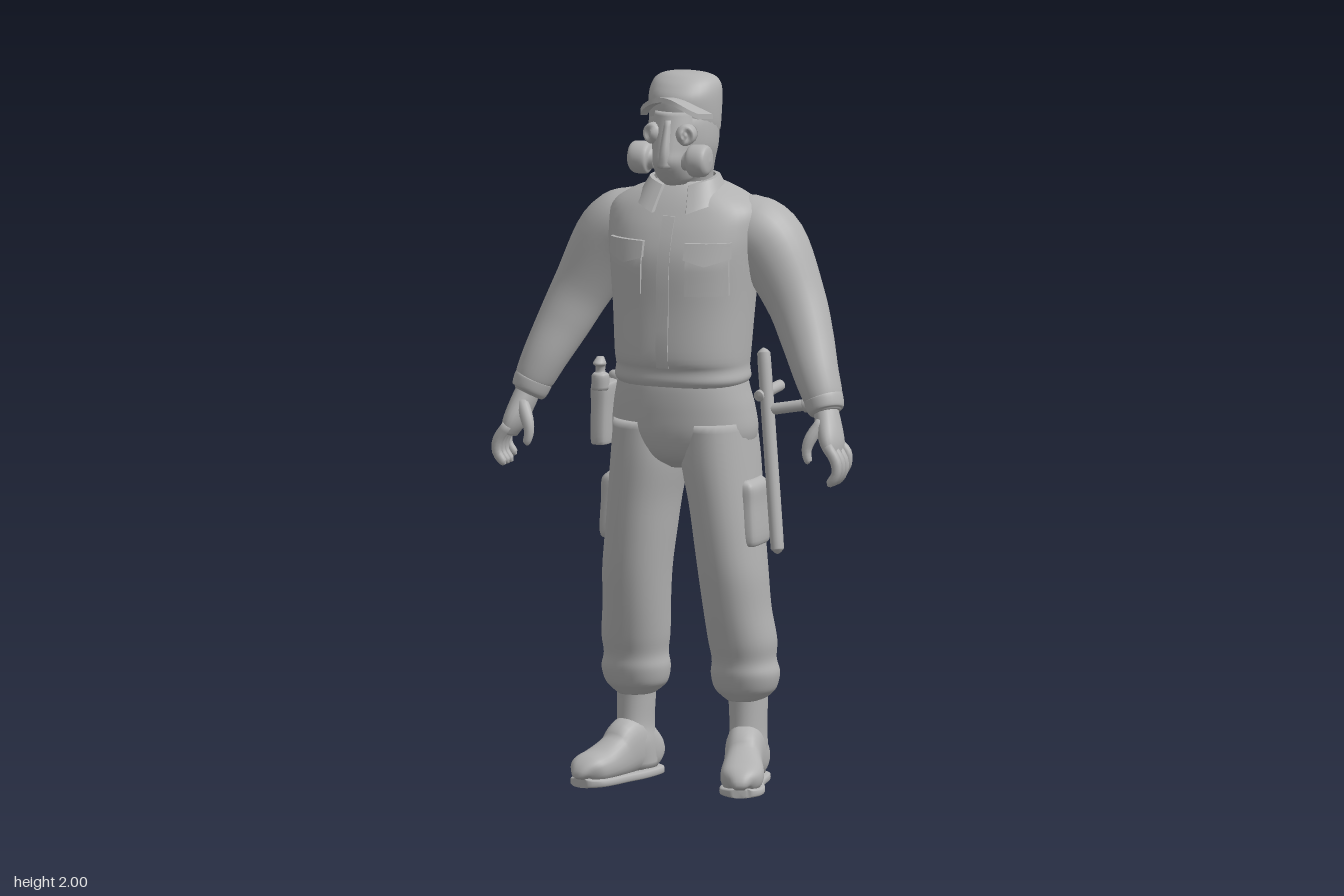
import * as THREE from 'three';

const grey = new THREE.MeshStandardMaterial({ color: 0xb2b2b2 });
grey.name = 'plain grey';

// Smooth skin through elliptical sections [x, y, z, sideRadius, refRadius].
function loft(secs, { ref = [0, 0, 1], flat = false, n = 28, steps = 5, pow = 2 } = {}) {
  const path = new THREE.CatmullRomCurve3(secs.map(s => new THREE.Vector3(s[0], s[1], s[2])), false, 'catmullrom');
  const size = new THREE.CatmullRomCurve3(secs.map(s => new THREE.Vector3(s[3], s[4], 0)), false, 'catmullrom');
  const rows = (secs.length - 1) * steps, pos = [], idx = [];
  const bend = c => Math.sign(c) * Math.pow(Math.abs(c), 2 / pow);
  for (let i = 0; i <= rows; i++) {
    const c = path.getPoint(i / rows), r = size.getPoint(i / rows);
    const t = flat ? new THREE.Vector3(0, 1, 0) : path.getTangent(i / rows);
    const b = new THREE.Vector3(...ref);
    b.addScaledVector(t, -b.dot(t)).normalize();
    const a = t.clone().cross(b);
    for (let j = 0; j < n; j++) {
      const q = j / n * Math.PI * 2;
      const p = c.clone().addScaledVector(a, bend(Math.cos(q)) * Math.max(r.x, 0.001))
        .addScaledVector(b, bend(Math.sin(q)) * Math.max(r.y, 0.001));
      pos.push(p.x, p.y, p.z);
    }
  }
  for (let i = 0; i < rows; i++) for (let j = 0; j < n; j++) {
    const k = (j + 1) % n, A = i * n + j, B = A + n, C = i * n + k, D = C + n;
    idx.push(A, B, C, B, D, C);
  }
  // end caps
  const first = secs[0], last = secs[secs.length - 1], e = pos.length / 3;
  pos.push(first[0], first[1], first[2], last[0], last[1], last[2]);
  for (let j = 0; j < n; j++) {
    const k = (j + 1) % n;
    idx.push(e, j, k, e + 1, rows * n + k, rows * n + j);
  }
  const g = new THREE.BufferGeometry();
  g.setAttribute('position', new THREE.Float32BufferAttribute(pos, 3));
  g.setIndex(idx);
  g.computeVertexNormals();
  return g;
}

// Upright form from rows [y, centreX, halfWidth, frontZ, backZ].
const upright = (rows, opt = {}) => loft(rows.map(([y, x, w, f, b]) =>
  [x, y, (f + b) / 2, w, (f - b) / 2]), { flat: true, ...opt });

// Box whose vertices are moved by a rule.
function shaped(nx, ny, rule) {
  const g = new THREE.BoxGeometry(2, 1, 1, nx, ny, 1), p = g.attributes.position;
  for (let i = 0; i < p.count; i++) p.setXYZ(i, ...rule(p.getX(i), p.getY(i) + 0.5, p.getZ(i) + 0.5));
  g.computeVertexNormals();
  return g;
}

// Rod with rounded ends.
function rod(p, q, r) {
  const at = (k, s) => [...p.map((v, i) => v + (q[i] - v) * k), r * s, r * s];
  return loft([at(0, 0.1), at(0.02, 0.85), at(0.08, 1), at(0.5, 1), at(0.92, 1), at(0.98, 0.85), at(1, 0.1)],
    { ref: [0.31, 0.2, 0.9], n: 14, steps: 2 });
}

const TORSO = [
  [1.13, 0, 0.178, 0.14, -0.135], [1.15, 0, 0.19, 0.152, -0.145], [1.18, 0, 0.186, 0.152, -0.147],
  [1.22, 0, 0.189, 0.163, -0.155], [1.35, 0, 0.198, 0.157, -0.166], [1.48, 0, 0.21, 0.153, -0.176],
  [1.56, 0, 0.22, 0.13, -0.175], [1.62, 0, 0.215, 0.1, -0.163], [1.66, 0, 0.165, 0.075, -0.145],
  [1.69, 0, 0.09, 0.05, -0.12], [1.7, 0, 0.06, 0.035, -0.1]];

// Front of the jacket at a given x and y.
function chestZ(x, y) {
  const i = Math.max(1, TORSO.findIndex(r => r[0] >= y)), a = TORSO[i - 1], b = TORSO[i];
  const k = (y - a[0]) / (b[0] - a[0]), [, , w, f, back] = a.map((v, j) => v + (b[j] - v) * k);
  return (f + back) / 2 + (f - back) / 2 * Math.pow(Math.max(0, 1 - Math.pow(Math.abs(x) / w, 2.3)), 1 / 2.3);
}
const chestPatch = (x, y, w, h, thick, sag = 0) => shaped(8, 8, (u, v, d) => {
  const px = x + u * w, py = y + (v - 0.5) * h - (1 - v) * (1 - Math.abs(u)) * sag;
  return [px, py, chestZ(px, py) - 0.01 + d * (0.01 + thick)];
});

export function createModel() {
  const model = new THREE.Group();
  const add = (name, geo) => {
    const m = new THREE.Mesh(geo, grey);
    m.name = name;
    model.add(m);
    return m;
  };

  // Jacket body, placket and collar
  add('jacketBody', upright(TORSO, { pow: 2.3, n: 40 }));
  add('placket', chestPatch(0, 1.4, 0.018, 0.42, 0.005));
  add('collar', shaped(40, 4, (u, w, d) => {
    const q = -u * 2.8, r = 0.112 - 0.03 * w + 0.012 * d, front = Math.max(0, -Math.cos(q));
    return [Math.sin(q) * r * (1 + 0.25 * front), 1.652 + 0.058 * w - 0.035 * Math.pow(Math.abs(u), 5) * (1 - 0.4 * w),
      -0.022 - Math.cos(q) * r * 0.95 + 0.025 * (1 - w) * front];
  }));

  // Trouser seat
  add('trouserSeat', upright([[0.895, 0, 0.08, 0.05, -0.09], [0.93, 0, 0.17, 0.11, -0.15], [0.99, 0, 0.204, 0.138, -0.168],
    [1.06, 0, 0.2, 0.145, -0.16], [1.12, 0, 0.188, 0.145, -0.142], [1.16, 0, 0.18, 0.14, -0.135]], { pow: 2.2, n: 36 }));

  // Head, gas mask and cap
  add('head', upright([[1.63, 0, 0.07, 0.02, -0.1], [1.7, 0, 0.07, 0.045, -0.105], [1.75, 0, 0.082, 0.09, -0.108],
    [1.8, 0, 0.095, 0.11, -0.112], [1.86, 0, 0.096, 0.108, -0.115], [1.9, 0, 0.09, 0.09, -0.11]]));
  add('maskFace', upright([[1.695, 0, 0.03, 0.1, 0.02], [1.715, 0, 0.05, 0.122, 0], [1.76, 0, 0.058, 0.153, 0],
    [1.8, 0, 0.06, 0.145, 0], [1.85, 0, 0.066, 0.128, 0], [1.9, 0, 0.06, 0.112, 0]], { pow: 1.8 }));
  add('maskRidge', upright([[1.75, 0, 0.026, 0.158, 0.08], [1.8, 0, 0.02, 0.154, 0.08], [1.88, 0, 0.012, 0.126, 0.08]], { n: 16 }));
  add('capCrown', upright([[1.835, 0, 0.094, 0.075, -0.118], [1.87, 0, 0.099, 0.095, -0.121], [1.93, 0, 0.101, 0.096, -0.125],
    [1.965, 0, 0.096, 0.075, -0.116], [1.985, 0, 0.08, 0.052, -0.09], [1.996, 0, 0.05, 0.03, -0.05], [2, 0, 0.005, 0, -0.01]], { n: 32 }));
  add('capVisor', shaped(20, 1, (u, d, v) => {
    const inner = 0.08 * Math.sqrt(1 - 0.9 * u * u), outer = 0.165 - 0.06 * Math.pow(u, 4);
    return [0.098 * u * (1 - 0.12 * v), 1.925 + 0.014 * d - 0.05 * u * u + 0.012 * v, inner + (outer - inner) * v];
  }));

  for (const s of [1, -1]) {
    const side = s > 0 ? 'left' : 'right';
    const mir = secs => secs.map(([x, ...rest]) => [x * s, ...rest]);
    const mirUp = secs => secs.map(([y, x, ...rest]) => [y, x * s, ...rest]);

    // Mask filter
    add(side + 'Filter', loft(mir([[0.04, 1.765, 0.1, 0.025, 0.025], [0.055, 1.767, 0.1, 0.03, 0.03], [0.066, 1.768, 0.1, 0.044, 0.044],
      [0.1, 1.77, 0.1, 0.045, 0.045], [0.115, 1.77, 0.1, 0.034, 0.034], [0.12, 1.77, 0.1, 0.002, 0.002]]), { n: 22 }));
    add(side + 'MaskLens', loft(mir([[0.045, 1.84, 0.08, 0.028, 0.03], [0.05, 1.84, 0.118, 0.026, 0.028], [0.052, 1.84, 0.124, 0.004, 0.004]]),
      { ref: [0, 1, 0], n: 18 }));

    // Chest pocket and flap
    add(side + 'ChestPocket', chestPatch(0.12 * s, 1.465, 0.054, 0.14, 0.01));
    add(side + 'PocketFlap', chestPatch(0.12 * s, 1.52, 0.058, 0.045, 0.018, 0.018));

    // Sleeve and cuff
    add(side + 'Sleeve', loft(mir([[0.11, 1.575, -0.055, 0.07, 0.08], [0.17, 1.56, -0.06, 0.098, 0.1], [0.235, 1.515, -0.062, 0.104, 0.103],
      [0.315, 1.375, -0.045, 0.085, 0.083], [0.362, 1.275, -0.015, 0.075, 0.072], [0.402, 1.185, 0.02, 0.064, 0.064],
      [0.428, 1.125, 0.035, 0.056, 0.06], [0.434, 1.11, 0.038, 0.05, 0.055]])));
    add(side + 'Cuff', loft(mir([[0.428, 1.125, 0.036, 0.05, 0.055], [0.433, 1.113, 0.038, 0.054, 0.06],
      [0.442, 1.085, 0.045, 0.05, 0.056], [0.446, 1.075, 0.048, 0.038, 0.044]])));

    // Hand with curled fingers and thumb
    add(side + 'Palm', loft(mir([[0.44, 1.095, 0.045, 0.034, 0.036], [0.456, 1.05, 0.06, 0.034, 0.046], [0.474, 1.0, 0.077, 0.03, 0.054],
      [0.486, 0.965, 0.083, 0.018, 0.048]]), { n: 20 }));
    for (let k = 0; k < 4; k++) {
      const z = 0.042 + k * 0.027, d = k === 0 ? 0.015 : 0;
      add(side + 'Finger', loft(mir([[0.477, 0.995, z, 0.015, 0.014], [0.503, 0.955 + d, z + 0.002, 0.016, 0.014],
        [0.506, 0.92 + d, z + 0.004, 0.014, 0.013], [0.488, 0.893 + d, z + 0.004, 0.012, 0.011], [0.48, 0.886 + d, z + 0.004, 0.002, 0.002]]),
        { n: 10, steps: 3 }));
    }
    add(side + 'Thumb', loft(mir([[0.447, 1.055, 0.085, 0.018, 0.02], [0.424, 1.015, 0.108, 0.018, 0.018], [0.414, 0.98, 0.117, 0.014, 0.014],
      [0.42, 0.95, 0.12, 0.011, 0.011], [0.423, 0.944, 0.12, 0.002, 0.002]]), { n: 12, steps: 3 }));

    // Trouser leg, bloused over the boot
    add(side + 'TrouserLeg', upright(mirUp([[0.24, 0.162, 0.05, 0.005, -0.125], [0.255, 0.162, 0.07, 0.018, -0.137], [0.275, 0.162, 0.086, 0.033, -0.148],
      [0.315, 0.163, 0.094, 0.045, -0.152], [0.355, 0.161, 0.087, 0.048, -0.147], [0.41, 0.159, 0.092, 0.064, -0.149],
      [0.5, 0.15, 0.09, 0.085, -0.137], [0.6, 0.143, 0.092, 0.104, -0.132], [0.7, 0.132, 0.093, 0.116, -0.143],
      [0.8, 0.121, 0.095, 0.125, -0.156], [0.92, 0.105, 0.101, 0.134, -0.167], [1.03, 0.1, 0.095, 0.135, -0.155]]), { pow: 2.15 }));
    add(side + 'CargoPocket', upright(mirUp([[0.68, 0.2, 0.02, 0.04, -0.06], [0.7, 0.205, 0.032, 0.06, -0.08], [0.8, 0.2, 0.033, 0.06, -0.08],
      [0.85, 0.197, 0.034, 0.06, -0.08], [0.87, 0.195, 0.016, 0.05, -0.07]]), { pow: 3.5, n: 20 }));

    // Boot
    add(side + 'BootShaft', upright(mirUp([[0.03, 0.16, 0.05, 0.0, -0.135], [0.1, 0.165, 0.054, 0.02, -0.138], [0.15, 0.168, 0.05, 0.005, -0.13],
      [0.22, 0.167, 0.052, 0.0, -0.13], [0.27, 0.165, 0.054, 0.0, -0.13]]), { n: 24 }));
    const foot = [[0.155, -0.15, 0.022, 0.05], [0.156, -0.138, 0.043, 0.09], [0.16, -0.1, 0.052, 0.13], [0.172, -0.03, 0.054, 0.17],
      [0.19, 0.03, 0.053, 0.125], [0.212, 0.09, 0.06, 0.094], [0.228, 0.14, 0.056, 0.08], [0.236, 0.168, 0.034, 0.058], [0.238, 0.174, 0.012, 0.03]];
    add(side + 'BootFoot', loft(mir(foot.map(([x, z, w, h]) => [x, 0.008 + h / 2, z, w, h / 2])), { ref: [0, 1, 0], pow: 2.4 }));
    add(side + 'BootSole', loft(mir(foot.map(([x, z, w]) => [x, 0.013, z, w + 0.003, 0.013])), { ref: [0, 1, 0], pow: 4 }));
  }

  // Side-handled baton on the left hip
  add('batonShaft', rod([0.208, 1.225, -0.075], [0.287, 0.665, 0.015], 0.019));
  add('batonHandle', rod([0.225, 1.055, -0.05], [0.355, 1.078, -0.06], 0.016));
  add('batonKnob', rod([0.335, 1.074, -0.058], [0.372, 1.081, -0.061], 0.021));
  add('batonHanger', rod([0.21, 1.095, -0.03], [0.228, 1.11, -0.155], 0.016));

  // Pouch with spray bottle on the right hip
  add('pouch', upright([[0.945, -0.235, 0.02, 0.05, -0.03], [0.955, -0.235, 0.027, 0.062, -0.045], [1.05, -0.232, 0.029, 0.066, -0.05],
    [1.11, -0.23, 0.03, 0.068, -0.05], [1.118, -0.23, 0.02, 0.06, -0.04]], { pow: 3, n: 20 }));
  add('bottle', upright([[1.1, -0.228, 0.024, 0.075, 0.025], [1.14, -0.228, 0.024, 0.075, 0.025], [1.15, -0.228, 0.014, 0.064, 0.036],
    [1.165, -0.228, 0.014, 0.066, 0.034], [1.175, -0.228, 0.018, 0.078, 0.034], [1.192, -0.228, 0.01, 0.06, 0.04]], { n: 16 }));
  add('pouchClip', rod([-0.195, 1.115, -0.03], [-0.24, 1.12, -0.075], 0.017));

  return model;
}
